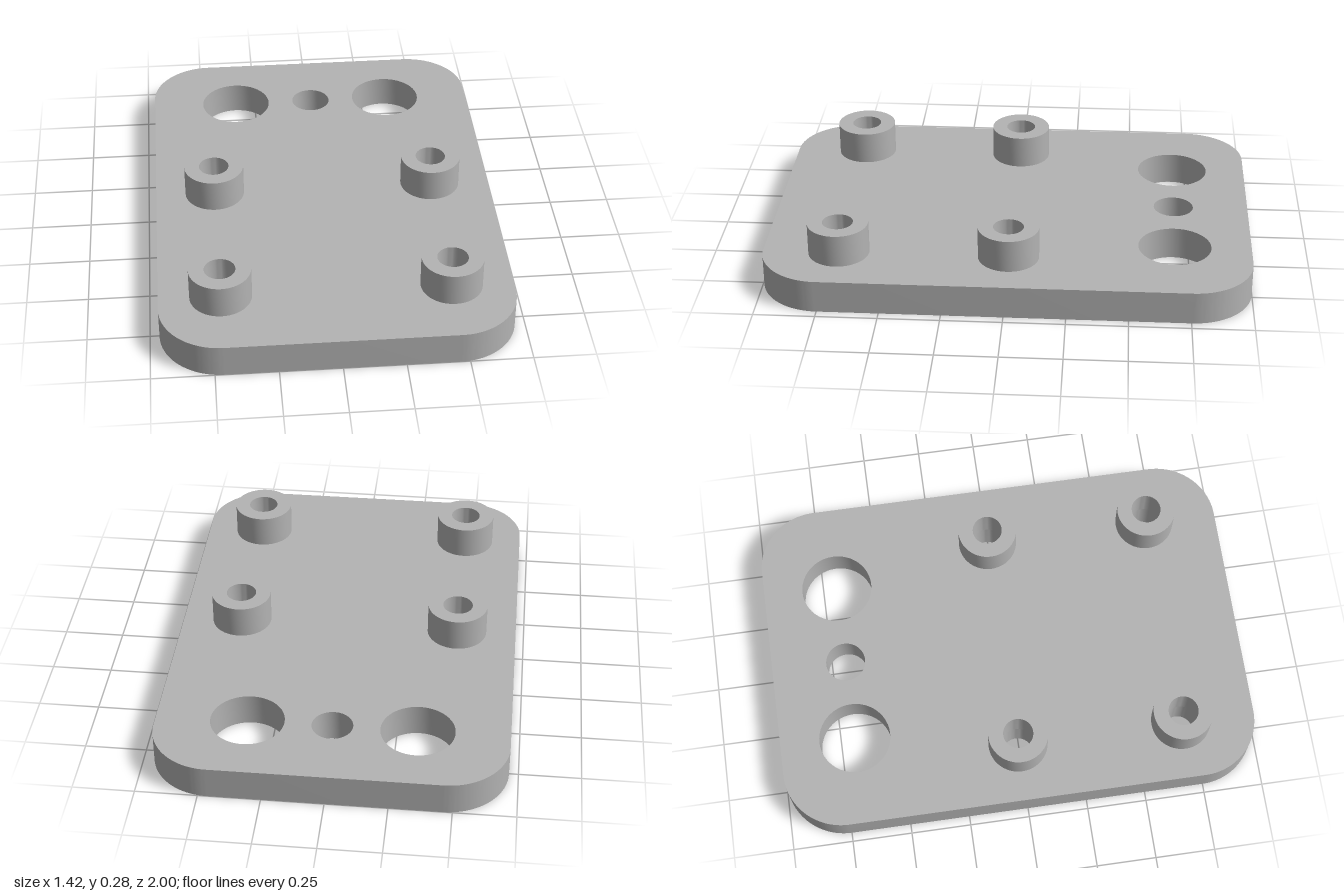
import * as THREE from 'three';
import { toCreasedNormals } from 'three/addons/utils/BufferGeometryUtils.js';

const HALF_W = 0.7125, HALF_L = 1, CORNER = 0.25;
const PLATE_H = 0.1375, BOSS_TOP = 0.275;
const BOSS_R = 0.125, BORE_R = 0.0625;
const CREASE = Math.PI / 6;

// Boss centres [x, z]
const bosses = [-0.4625, 0.4625].flatMap((x) => [-0.0075, 0.6875].map((z) => [x, z]));

// Rounded rectangle outline, drawn with shape y = -z
function plateOutline() {
  const s = new THREE.Shape();
  const x = HALF_W - CORNER, y = HALF_L - CORNER;
  s.absarc(x, y, CORNER, 0, Math.PI / 2);
  s.absarc(-x, y, CORNER, Math.PI / 2, Math.PI);
  s.absarc(-x, -y, CORNER, Math.PI, Math.PI * 1.5);
  s.absarc(x, -y, CORNER, Math.PI * 1.5, Math.PI * 2);
  s.closePath();
  return s;
}

function addHole(shape, x, z, r) {
  const hole = new THREE.Path();
  hole.absarc(x, -z, r, 0, Math.PI * 2, true);
  shape.holes.push(hole);
}

export function createModel() {
  const group = new THREE.Group();
  group.name = 'mountingPlate';
  const grey = new THREE.MeshStandardMaterial({ color: 0xb3b3b3 });
  grey.name = 'grey';

  // Plate with two large holes, one small hole and the four boss bores
  const outline = plateOutline();
  for (const x of [-0.3425, 0.3425]) addHole(outline, x, -0.685, 0.15);
  addHole(outline, 0, -0.685, 0.0835);
  for (const [x, z] of bosses) addHole(outline, x, z, BORE_R);
  const plateGeo = new THREE.ExtrudeGeometry(outline, {
    depth: PLATE_H, bevelEnabled: false, curveSegments: 24,
  });
  plateGeo.rotateX(-Math.PI / 2);
  const plate = new THREE.Mesh(toCreasedNormals(plateGeo, CREASE), grey);
  plate.name = 'basePlate';
  group.add(plate);

  // Hollow standoff bosses
  const profile = [
    [BOSS_R, PLATE_H], [BOSS_R, BOSS_TOP], [BORE_R, BOSS_TOP], [BORE_R, PLATE_H],
  ].map(([r, y]) => new THREE.Vector2(r, y));
  const bossGeo = toCreasedNormals(new THREE.LatheGeometry(profile, 48), CREASE);
  for (const [x, z] of bosses) {
    const boss = new THREE.Mesh(bossGeo, grey);
    boss.name = (z > 0.3 ? 'front' : 'middle') + (x > 0 ? 'Left' : 'Right') + 'Boss';
    boss.position.set(x, 0, z);
    group.add(boss);
  }
  return group;
}
